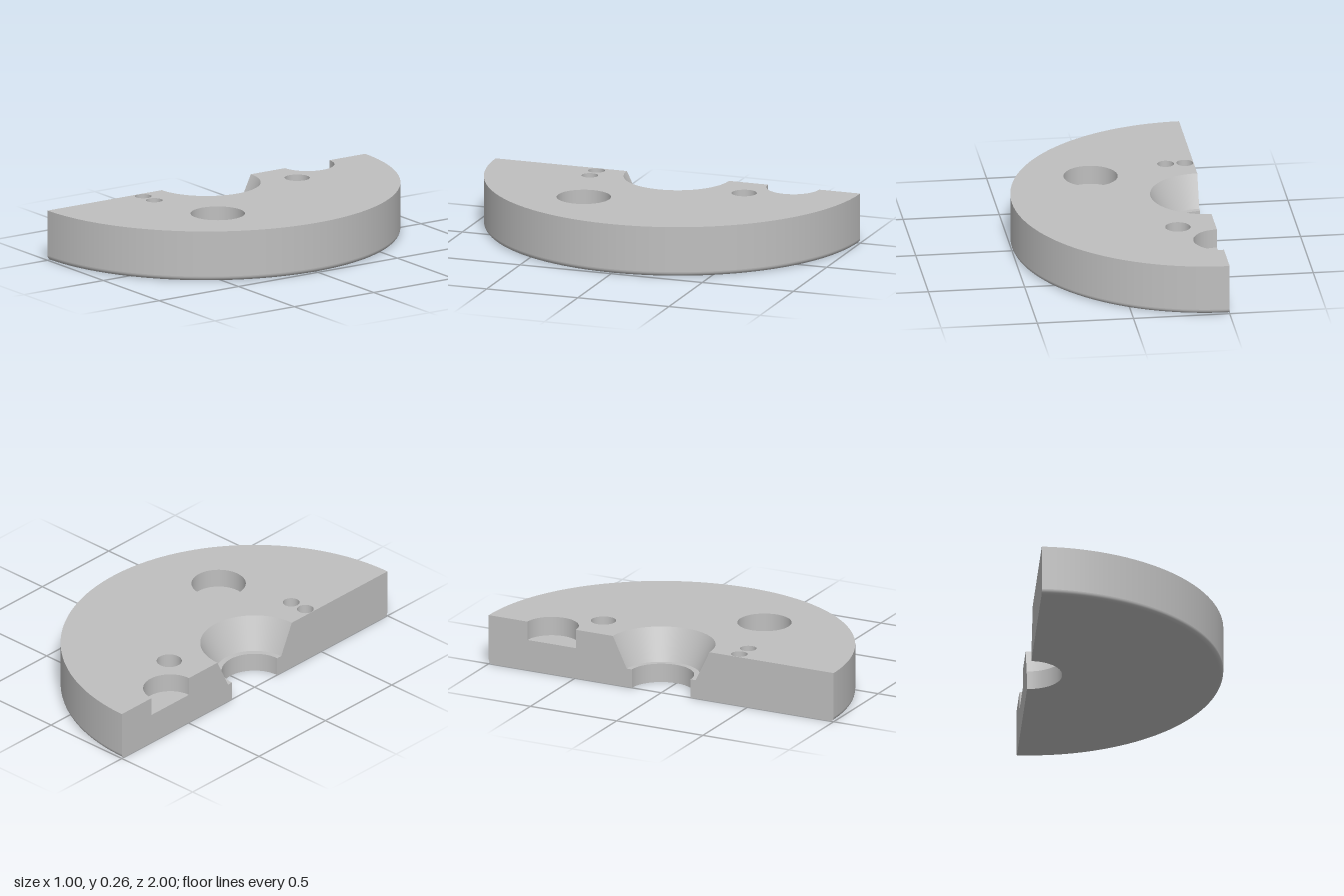
import * as THREE from 'three';

const H = 0.265;      // disc height
const FILLET = 0.025; // rounded bottom rim
const POCKET = 0.1;   // pocket depth
const SEG = 96;

// Round pockets: x measured from the cut face, z, radius
const halfPocket = { name: 'halfPocket', x: 0, z: -0.635, r: 0.14 };
const pockets = [
  { name: 'largePocket', x: 0.55, z: 0.315, r: 0.14 },
  { name: 'mediumPocket', x: 0.195, z: -0.435, r: 0.065 },
  { name: 'smallPocketInner', x: 0.045, z: 0.43, r: 0.043 },
  { name: 'smallPocketOuter', x: 0.145, z: 0.43, r: 0.043 },
];

export function createModel() {
  const group = new THREE.Group();
  group.name = 'halfDisc';
  const metal = new THREE.MeshStandardMaterial({ color: 0xbfbfbf });
  metal.name = 'grey metal';

  const add = (name, geometry, x = 0, y = 0, z = 0) => {
    const mesh = new THREE.Mesh(geometry, metal);
    mesh.name = name;
    mesh.position.set(x - 0.5, y, z);
    group.add(mesh);
  };
  const turn = (points, angle = Math.PI) =>
    new THREE.LatheGeometry(points.map(([r, y]) => new THREE.Vector2(r, y)), SEG, 0, angle);

  // Rounded rim, from the bottom face up to the wall
  const rim = [];
  for (let i = 0; i <= 8; i++) {
    const a = (i / 8) * Math.PI / 2;
    rim.push([1 - FILLET + FILLET * Math.sin(a), FILLET - FILLET * Math.cos(a)]);
  }
  add('outerWall', turn([[1, FILLET], [1, H]]));
  add('roundedRim', turn(rim));
  add('bottomFace', turn([[0.17, 0], [1 - FILLET, 0]]));

  // Central opening: cone, ledge and bore
  add('conicalSeat', turn([[0.28, H], [0.2, 0.1]]));
  add('ledge', turn([[0.2, 0.1], [0.17, 0.1]]));
  add('bore', turn([[0.17, 0.1], [0.17, 0]]));

  // Top face with the pocket openings (shape y is -z)
  const q = Math.PI / 2;
  const top = new THREE.Shape();
  top.moveTo(0, -1);
  top.absarc(0, 0, 1, -q, q, false);
  top.absarc(0, -halfPocket.z, halfPocket.r, q, -q, true);
  top.absarc(0, 0, 0.28, q, -q, true);
  top.closePath();
  for (const p of pockets) {
    const hole = new THREE.Path();
    hole.absarc(p.x, -p.z, p.r, 0, Math.PI * 2, true);
    top.holes.push(hole);
  }
  add('topFace', new THREE.ShapeGeometry(top, SEG / 2).rotateX(-q), 0, H, 0);

  // Pocket walls and floors
  for (const p of [halfPocket, ...pockets]) {
    const angle = p === halfPocket ? Math.PI : Math.PI * 2;
    const floor = H - POCKET;
    add(p.name + 'Wall', turn([[p.r, H], [p.r, floor]], angle), p.x, 0, p.z);
    add(p.name + 'Floor', turn([[p.r, floor], [0, floor]], angle), p.x, 0, p.z);
  }

  // Flat cut faces either side of the opening, the back one notched by the half pocket
  const near = -halfPocket.z - halfPocket.r;
  const far = -halfPocket.z + halfPocket.r;
  const notch = [[far, H], [far, H - POCKET], [near, H - POCKET], [near, H]];
  const cutFace = (name, side, extra) => {
    const outline = [[0.17, 0], ...rim, [1, H], ...extra, [0.28, H], [0.2, 0.1], [0.17, 0.1]];
    const shape = new THREE.Shape(outline.map(([z, y]) => new THREE.Vector2(z * side, y)));
    add(name, new THREE.ShapeGeometry(shape).rotateY(-q));
  };
  cutFace('frontCutFace', 1, []);
  cutFace('backCutFace', -1, notch);

  return group;
}
